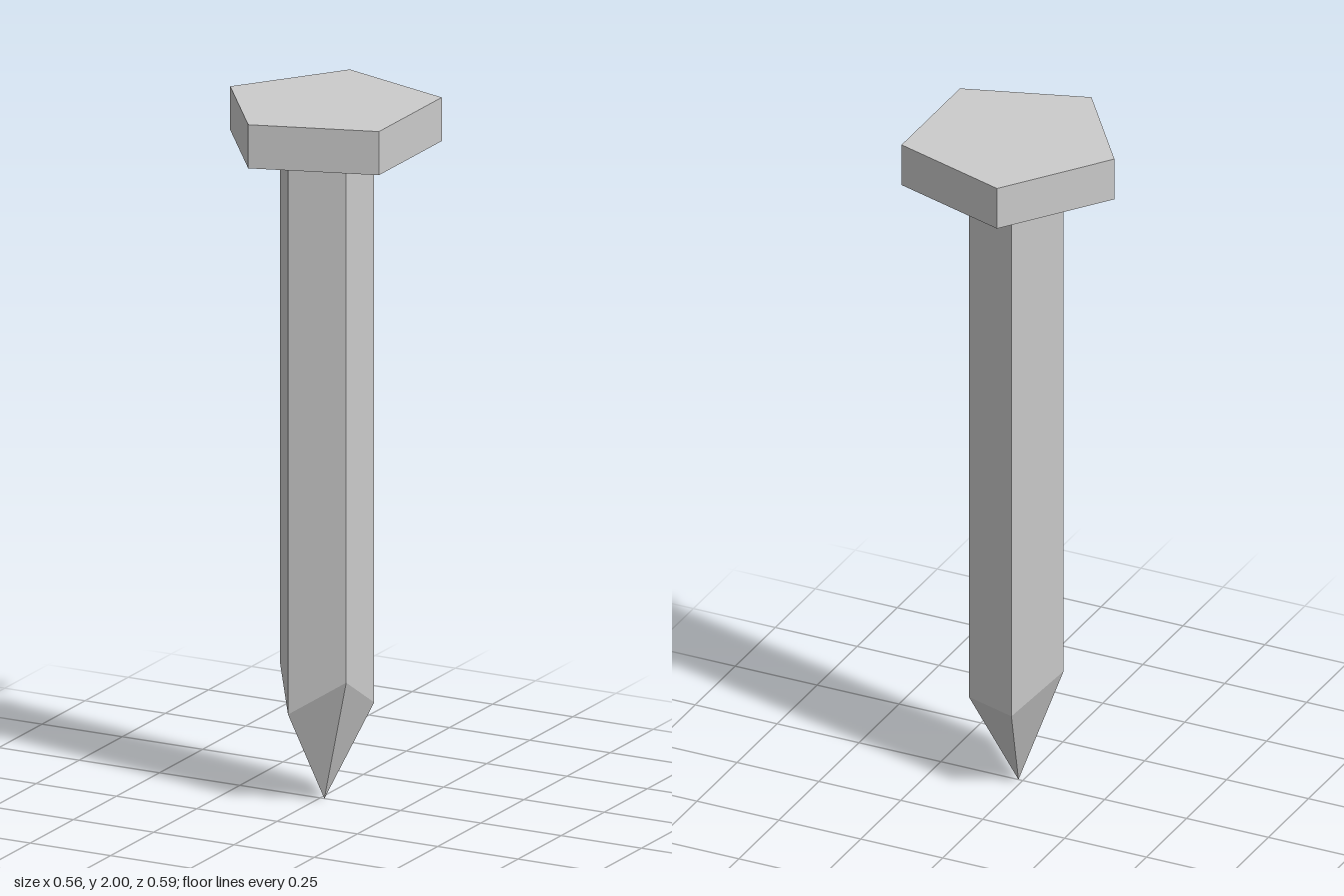
import * as THREE from 'three';

const SIDES = 5;
const START = -Math.PI / 2; // one corner points to -x
const SHAFT_X = 0.013, SHAFT_R = 0.138;
const HEAD_X = 0.03, HEAD_R = 0.31;
const HEAD_BOTTOM = 1.875, RIM = 0.32;

// Five-sided prism or cone spanning y0..y1
function prism(topR, bottomR, y0, y1, open) {
  const g = new THREE.CylinderGeometry(topR, bottomR, y1 - y0, SIDES, 1, open, START);
  return g.translate(0, (y0 + y1) / 2, 0);
}

// Uneven seam between shaft and point: two corners sit higher than the others
function unevenRim(g) {
  const p = g.attributes.position;
  for (let i = 0; i < p.count; i++) {
    if (Math.abs(p.getY(i) - RIM) > 0.001) continue;
    const x = p.getX(i), z = p.getZ(i);
    const high = x < -0.1 || (x > 0.05 && z > 0);
    p.setY(i, high ? 0.37 : 0.27);
  }
  g.computeVertexNormals();
  return g;
}

export function createModel() {
  const group = new THREE.Group();
  group.name = 'nail';
  const material = new THREE.MeshStandardMaterial({ color: 0xcccccc, flatShading: true });

  const add = (name, geometry, x) => {
    const mesh = new THREE.Mesh(geometry, material);
    mesh.name = name;
    mesh.position.x = x;
    group.add(mesh);
  };

  add('head', prism(HEAD_R, HEAD_R, HEAD_BOTTOM, 2, false), HEAD_X);
  add('shaft', unevenRim(prism(SHAFT_R, SHAFT_R, RIM, HEAD_BOTTOM, true)), SHAFT_X);
  add('point', unevenRim(prism(SHAFT_R, 0, 0, RIM, true)), SHAFT_X);

  return group;
}
